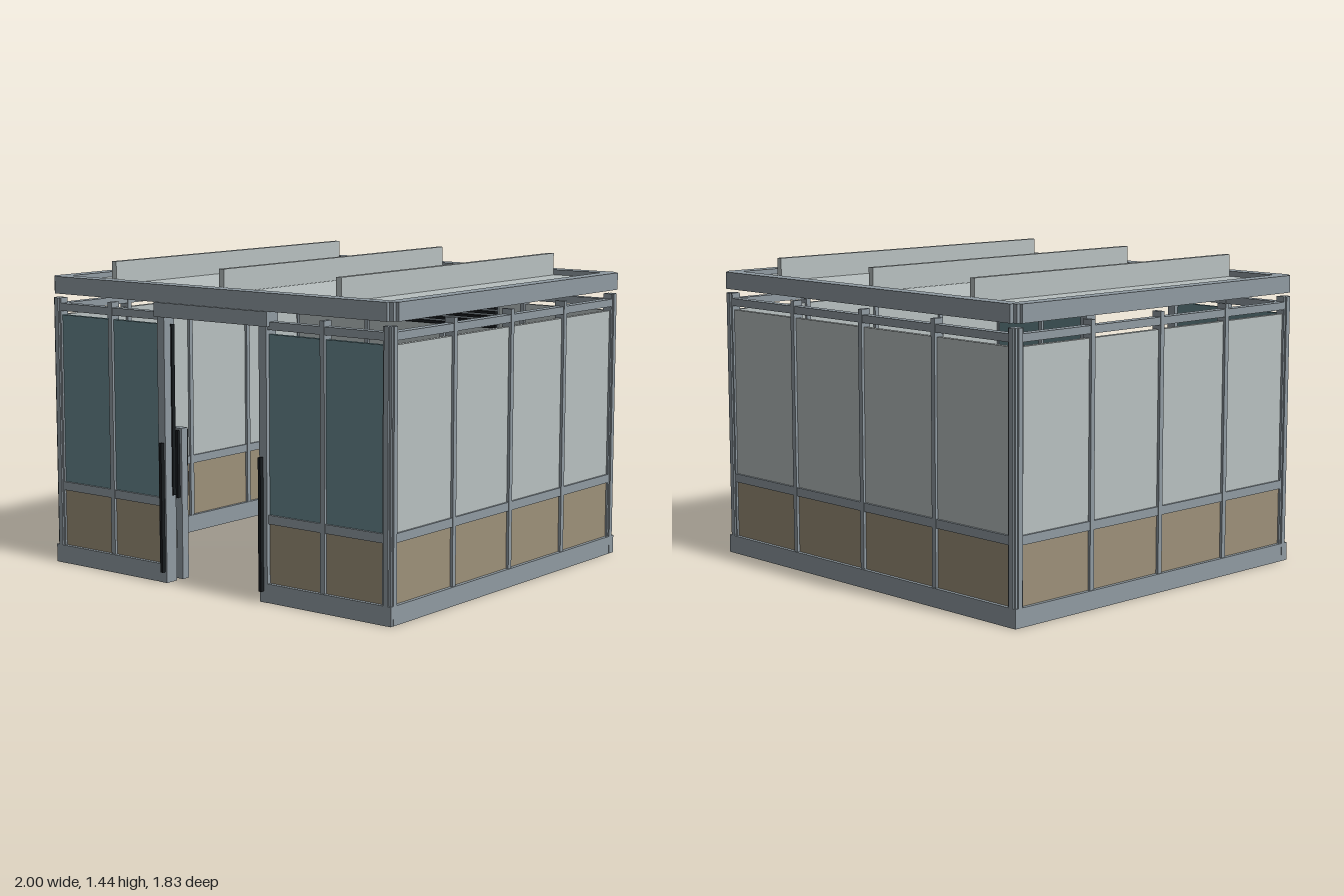
import * as THREE from 'three';

const mat = (name, color) => {
  const m = new THREE.MeshStandardMaterial({ color });
  m.name = name;
  return m;
};

export function createModel() {
  const root = new THREE.Group();
  root.name = 'booth';
  const frame = mat('frame grey', 0x8f9aa1);
  const panel = mat('panel light grey', 0xb8c0c0);
  const glass = mat('glass teal', 0x66868d);
  const tan = mat('lower panel tan', 0x9c9079);
  const dark = mat('dark bracket', 0x2b343a);
  const black = mat('handle black', 0x171b1e);

  // Box given by its minimum and maximum on each axis
  const box = (parent, name, m, x0, x1, y0, y1, z0, z1) => {
    const mesh = new THREE.Mesh(new THREE.BoxGeometry(x1 - x0, y1 - y0, z1 - z0), m);
    mesh.position.set((x0 + x1) / 2, (y0 + y1) / 2, (z0 + z1) / 2);
    mesh.name = name;
    parent.add(mesh);
    return mesh;
  };

  // Wall along x from a to b, outer face near z = 0.03, with mullions at the given x
  const wall = (name, a, b, mullions, upper) => {
    const g = new THREE.Group();
    g.name = name;
    box(g, 'baseRail', frame, a, b, 0, 0.085, -0.03, 0.03);
    box(g, 'sillRail', frame, a, b, 0.35, 0.39, -0.022, 0.022);
    box(g, 'topRail', frame, a, b, 1.2, 1.235, -0.022, 0.022);
    for (const x of mullions) box(g, 'mullion', frame, x - 0.012, x + 0.012, 0.08, 1.26, -0.025, 0.025);
    const edges = [a, ...mullions, b];
    for (let i = 0; i < edges.length - 1; i++) {
      box(g, 'upperPanel', upper, edges[i], edges[i + 1], 0.38, 1.18, -0.012, 0.012);
      box(g, 'lowerPanel', tan, edges[i], edges[i + 1], 0.08, 0.355, -0.012, 0.012);
    }
    root.add(g);
    return g;
  };

  const zFront = 0.865, zBack = -0.88, xSide = 0.96;
  wall('backWall', -0.95, 0.95, [-0.48, 0, 0.48], panel).position.z = zBack;
  wall('frontWallLeft', 0.31, 0.95, [0.62], glass).position.z = zFront;
  wall('frontWallRight', -0.95, -0.31, [-0.62], glass).position.z = zFront;
  for (const s of [1, -1]) {
    const side = wall(s > 0 ? 'leftWall' : 'rightWall', -0.855, 0.855, [-0.438, 0, 0.438], panel);
    side.rotation.y = s * Math.PI / 2;
    side.position.set(s * xSide, 0, -0.007);
  }

  // Stepped corner posts with base shoes
  for (const sx of [1, -1]) {
    for (const [zc, sz] of [[zFront, 1], [zBack, -1]]) {
      const g = new THREE.Group();
      g.name = 'cornerPost';
      g.position.set(sx * xSide, 0, zc);
      g.scale.set(1, 1, 1);
      box(g, 'postCore', frame, -0.022, 0.022, 0, 1.26, -0.022, 0.022);
      const px = sx * 0.012, pz = sz * 0.012;
      box(g, 'postFlangeX', frame, px - 0.018, px + 0.018, 0, 1.26, -0.012, 0.012);
      box(g, 'postFlangeZ', frame, -0.012, 0.012, 0, 1.26, pz - 0.018, pz + 0.018);
      box(g, 'baseShoe', frame, -0.029, 0.029, 0, 0.085, -0.029, 0.029);
      root.add(g);
    }
  }

  // Doorway: posts, pull bars, inner seals and header
  for (const s of [1, -1]) {
    const x = s * 0.298;
    box(root, 'doorPost', frame, x - 0.021, x + 0.021, 0, 1.22, 0.83, 0.897);
    box(root, 'doorHandle', black, s * 0.292 - 0.007, s * 0.292 + 0.007, 0.05, 0.645, 0.897, 0.917);
  }
  box(root, 'doorSeal', black, -0.279, -0.271, 0.4, 1.18, 0.835, 0.855);
  box(root, 'doorHeader', frame, -0.33, 0.33, 1.215, 1.28, 0.83, 0.907);

  // Low inner gate beside the doorway
  const gate = new THREE.Group();
  gate.name = 'innerGate';
  for (const x of [-0.92, -0.29]) box(gate, 'gatePost', frame, x - 0.018, x + 0.018, 0, 0.7, 0.755, 0.795);
  for (const [y0, y1] of [[0, 0.085], [0.33, 0.37], [0.66, 0.7]])
    box(gate, 'gateRail', frame, -0.91, -0.3, y0, y1, 0.757, 0.793);
  box(gate, 'gatePanel', panel, -0.91, -0.3, 0.05, 0.68, 0.768, 0.782);
  for (const [z0, z1] of [[0.795, 0.81], [0.74, 0.755]])
    box(gate, 'gateHandle', black, -0.297, -0.283, 0.38, 0.69, z0, z1);
  root.add(gate);

  // Interior desk and louvre
  box(root, 'desk', frame, 0.1, 0.94, 0.47, 0.53, -0.5, 0.1);
  box(root, 'louvreBacking', frame, -0.35, 0.35, 1.05, 1.165, -0.85, -0.835);
  for (let i = 0; i < 5; i++) {
    const y = 1.055 + i * 0.023;
    box(root, 'louvreSlat', black, -0.35, 0.35, y, y + 0.013, -0.84, -0.815);
  }

  // Dark cross bars carrying the roof
  for (const z of [0.475, -0.5]) box(root, 'roofBracket', dark, -0.595, 0.595, 1.24, 1.285, z - 0.03, z + 0.03);

  // Roof frame: notched outline with a rectangular opening
  const X = 1, Z = 0.907, zMid = -0.01;
  const corner = [[X, Z - 0.035], [X - 0.015, Z - 0.035], [X - 0.015, Z - 0.018],
    [X - 0.035, Z - 0.018], [X - 0.035, Z]];
  const outline = [];
  for (const [sx, sz] of [[1, 1], [-1, 1], [-1, -1], [1, -1]]) {
    const pts = corner.map(([x, z]) => new THREE.Vector2(sx * x, sz * z));
    outline.push(...(sx * sz > 0 ? pts : pts.reverse()));
  }
  const shape = new THREE.Shape(outline);
  const hx = 0.93, hz = 0.835;
  shape.holes.push(new THREE.Path([[-hx, -hz], [-hx, hz], [hx, hz], [hx, -hz]].map(p => new THREE.Vector2(...p))));
  const roofGeo = new THREE.ExtrudeGeometry(shape, { depth: 0.08, bevelEnabled: false });
  roofGeo.rotateX(-Math.PI / 2);
  const roofFrame = new THREE.Mesh(roofGeo, frame);
  roofFrame.name = 'roofFrame';
  roofFrame.position.set(0, 1.28, zMid);
  root.add(roofFrame);

  // Two roof panels with a narrow slot between them, and three fins
  for (const s of [1, -1]) {
    const a = s * 0.025, b = s * hx;
    box(root, 'roofPanel', panel, Math.min(a, b), Math.max(a, b), 1.3, 1.335, zMid - hz, zMid + hz);
  }
  for (const x of [-0.655, 0, 0.655])
    box(root, 'roofFin', panel, x - 0.014, x + 0.014, 1.32, 1.44, -0.838, 0.82);

  return root;
}
